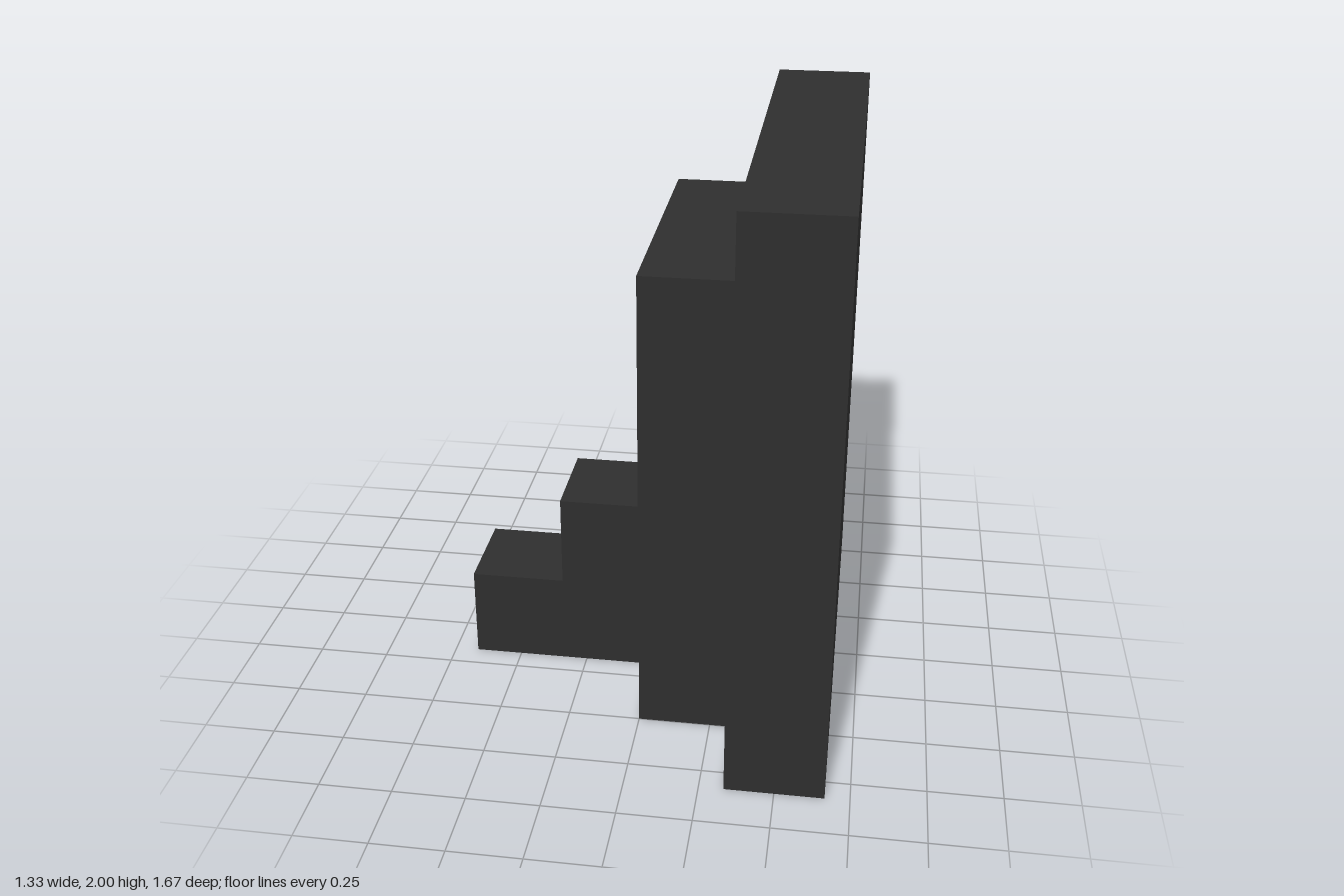
import * as THREE from 'three';

const U = 1 / 3; // grid unit of the blocky design

export function createModel() {
  const group = new THREE.Group();
  const charcoal = new THREE.MeshStandardMaterial({ color: 0x2e2e2e });
  charcoal.name = 'charcoal';

  const add = (name, geometry) => {
    const mesh = new THREE.Mesh(geometry, charcoal);
    mesh.name = name;
    group.add(mesh);
    return mesh;
  };

  // Upright slabs: left edge, height and depth in grid units
  const slab = (name, x, height, depth) =>
    add(name, new THREE.BoxGeometry(U, height * U, depth * U))
      .position.set((x + 0.5) * U, (height * U) / 2, 0);

  slab('mainPanel', 1, 6, 5);
  slab('innerPanel', 0, 5, 3);

  // L-shaped stepped foot
  const outline = [[-2, 0], [0, 0], [0, 2], [-1, 2], [-1, 1], [-2, 1]];
  const profile = new THREE.Shape(outline.map(([x, y]) => new THREE.Vector2(x * U, y * U)));
  add('steppedFoot', new THREE.ExtrudeGeometry(profile, { depth: U, bevelEnabled: false }))
    .position.z = -U / 2;

  return group;
}
